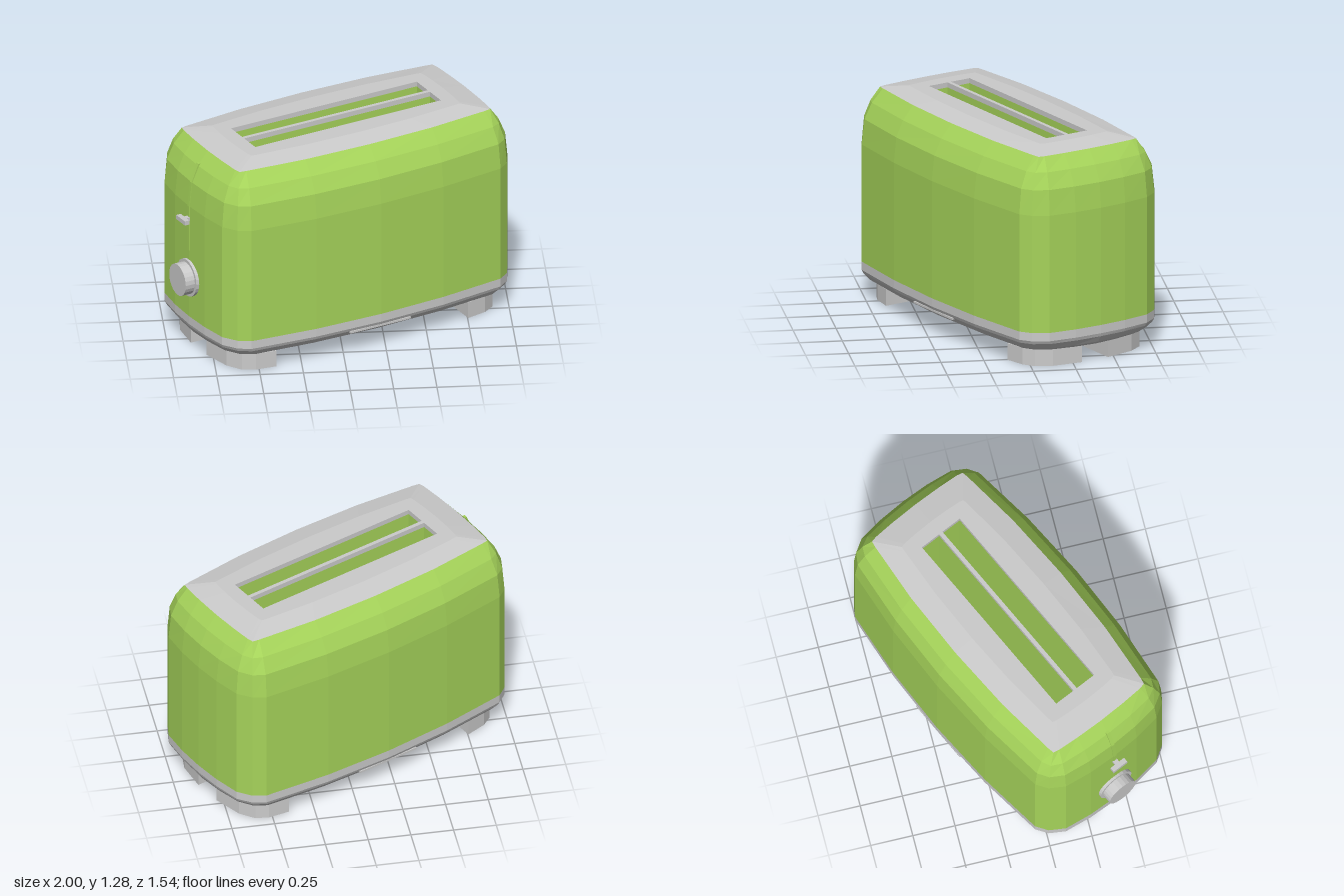
import * as THREE from 'three';

const mat = (color) => new THREE.MeshStandardMaterial({ color, flatShading: true, side: THREE.DoubleSide });

// Quarter outlines [length, width], from the middle of the end to the middle of the long side
const FULL = [[0.975, 0], [0.968, 0.17], [0.945, 0.335], [0.892, 0.42], [0.825, 0.465], [0.42, 0.51], [0, 0.525]];
const TOP = [[0.85, 0], [0.846, 0.17], [0.838, 0.3], [0.83, 0.335], [0.79, 0.342], [0.42, 0.378], [0, 0.39]];
const BOTTOM = [[0.92, 0], [0.907, 0.14], [0.88, 0.27], [0.83, 0.36], [0.76, 0.4], [0.42, 0.435], [0, 0.45]];
const PLATE = TOP.map(([x, z]) => [x * 0.83, z * 0.68]);

const blend = (a, b, t) => a.map(([x, z], i) => [x + (b[i][0] - x) * t, z + (b[i][1] - z) * t]);

// Mirror a quarter outline into a closed loop
function fullLoop(q) {
  const half = [...q, ...q.slice(0, -1).reverse().map(([x, z]) => [-x, z])];
  return [...half, ...half.slice(1, -1).reverse().map(([x, z]) => [x, -z])];
}

// Skin a stack of [y, quarter outline] sections, optionally closed underneath
function skin(levels, closeBottom = false) {
  const pos = [], index = [];
  const n = fullLoop(levels[0][1]).length;
  for (const [y, q] of levels) for (const [x, z] of fullLoop(q)) pos.push(x, y, z);
  for (let l = 0; l < levels.length - 1; l++) {
    for (let i = 0; i < n; i++) {
      const a = l * n + i, b = l * n + (i + 1) % n;
      index.push(a, a + n, b, b, a + n, b + n);
    }
  }
  if (closeBottom) {
    const c = pos.length / 3;
    pos.push(0, levels[0][0], 0);
    for (let i = 0; i < n; i++) index.push(c, i, (i + 1) % n);
  }
  const g = new THREE.BufferGeometry();
  g.setAttribute('position', new THREE.Float32BufferAttribute(pos, 3));
  g.setIndex(index);
  g.computeVertexNormals();
  return g;
}

const shapeOf = (pts) => new THREE.Shape(pts.map(([x, y]) => new THREE.Vector2(x, y)));
const rect = (x, y0, y1) => [[-x, y0], [x, y0], [x, y1], [-x, y1]];

// Upright slab from a plan outline
function slab(pts, y0, y1, holes = []) {
  const s = shapeOf(pts);
  holes.forEach((h) => s.holes.push(shapeOf(h)));
  const g = new THREE.ExtrudeGeometry(s, { depth: y1 - y0, bevelEnabled: false });
  return g.rotateX(-Math.PI / 2).translate(0, y0, 0);
}

export function createModel() {
  const model = new THREE.Group();
  model.name = 'toaster';
  const grey = mat(0xcccccc), green = mat(0xa6d45a), dark = mat(0x282828);

  const add = (name, geometry, material, x = 0, y = 0, z = 0) => {
    const m = new THREE.Mesh(geometry, material);
    m.name = name;
    m.position.set(x, y, z);
    model.add(m);
    return m;
  };

  // Base band with tucked-in lower edge
  add('base', skin([
    [0.1, BOTTOM], [0.118, blend(FULL, BOTTOM, 0.55)], [0.155, blend(FULL, BOTTOM, 0.12)],
    [0.175, FULL], [0.225, FULL],
  ], true), grey);

  // Green shell with rounded shoulders
  add('shell', skin([
    [0.225, FULL], [0.93, FULL], [1.08, blend(FULL, TOP, 0.13)],
    [1.175, blend(FULL, TOP, 0.48)], [1.255, TOP],
  ]), green);

  // Top plate with two slots
  const slots = [rect(0.615, -0.14, -0.012), rect(0.615, 0.012, 0.14)];
  add('topPlateEdge', skin([[1.255, TOP], [1.28, PLATE]]), grey);
  add('topPlate', slab(fullLoop(PLATE), 1.25, 1.28, slots), grey);
  add('slotLiner', slab(rect(0.64, -0.165, 0.165), 0.3, 1.25, slots), green);
  add('slotFloor', new THREE.BoxGeometry(1.26, 0.02, 0.32), dark, 0, 0.3, 0);

  // Crumb tray edge showing on both long sides
  add('crumbTray', new THREE.BoxGeometry(0.4, 0.012, 1.036), grey, 0, 0.15, 0);

  // Four corner feet
  const foot = [[0.635, 0.09], [0.91, 0.09], [0.88, 0.27], [0.83, 0.36], [0.76, 0.4], [0.635, 0.422]];
  for (const sx of [-1, 1]) {
    for (const sz of [-1, 1]) {
      add('foot', slab(foot.map(([x, z]) => [x * sx, z * sz]), 0, 0.1), grey);
    }
  }

  // Lever track following the end of the shell
  const track = [[-0.979, 0.65], [-0.979, 0.93], [-0.963, 1.08], [-0.918, 1.19]];
  const inner = track.map(([x, y]) => [x + 0.03, y]).reverse();
  add('leverTrack', new THREE.ExtrudeGeometry(shapeOf([...track, ...inner]),
    { depth: 0.022, bevelEnabled: false }).translate(0, 0, -0.011), green);

  // Lever
  add('leverStem', new THREE.BoxGeometry(0.05, 0.022, 0.03), grey, -0.985, 0.852, 0);
  add('leverHandle', new THREE.BoxGeometry(0.03, 0.026, 0.1), grey, -1.015, 0.852, 0);

  // Browning knob
  const knobPart = (name, r, x0, x1) => {
    const g = new THREE.CylinderGeometry(r, r, x1 - x0, 24).rotateZ(Math.PI / 2);
    add(name, g, grey, (x0 + x1) / 2, 0.475, 0);
  };
  knobPart('knobFlange', 0.113, -0.99, -0.95);
  knobPart('knobCap', 0.096, -1.05, -0.98);

  // The whole appliance stands turned on its vertical axis
  model.rotation.y = THREE.MathUtils.degToRad(25);
  const root = new THREE.Group();
  root.add(model);
  return root;
}
